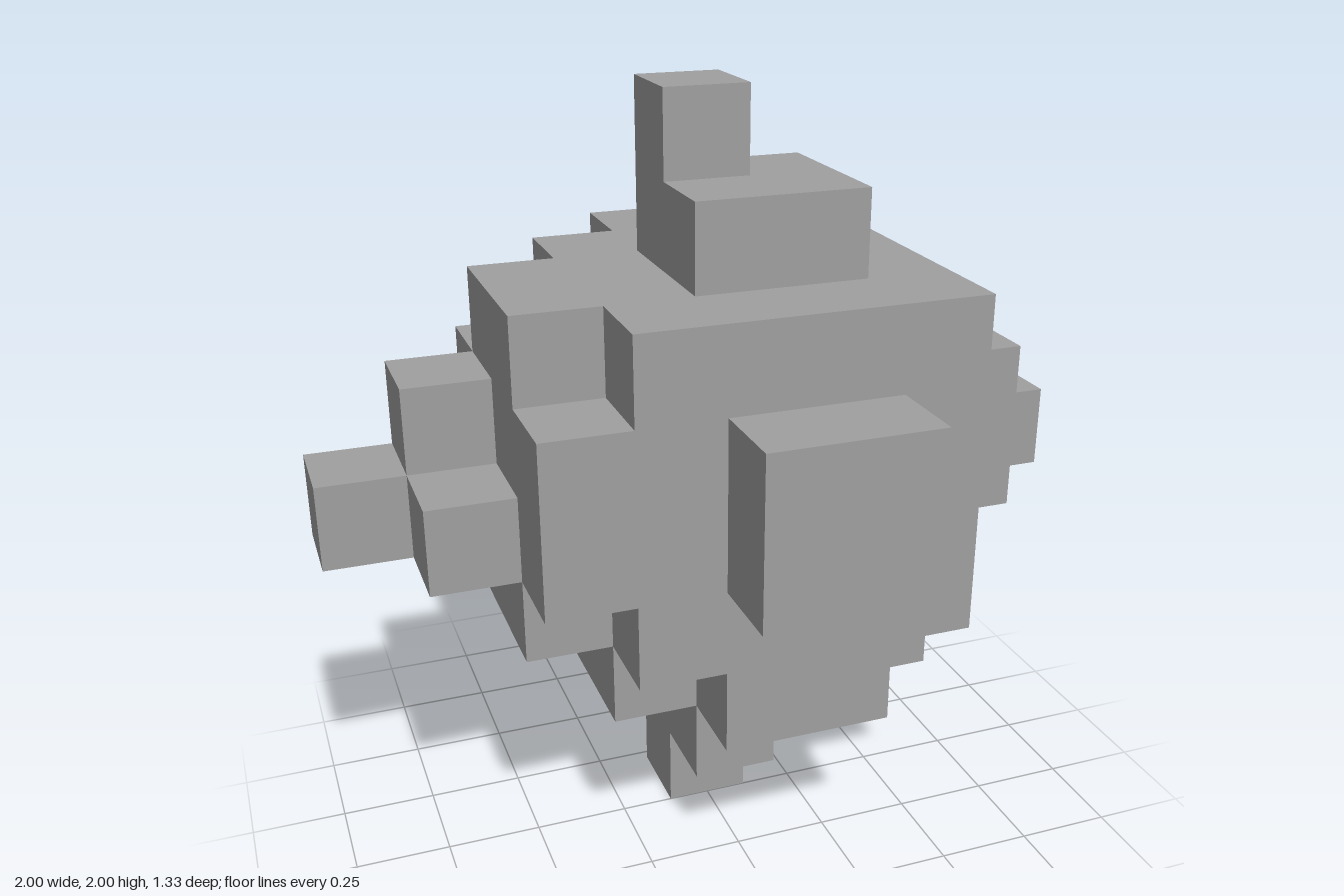
import * as THREE from 'three';
import { mergeGeometries } from 'three/addons/utils/BufferGeometryUtils.js';

const S = 2 / 9; // edge of one cube cell

// cell (i, j, k) to its centre; the body spans 0..4 on each axis
const centre = ([i, j, k]) => [(i - 2) * S, (j + 2.5) * S, (k - 2.5) * S];

// edges and corners cut from the 5 x 5 x 5 body
function isCut(cell) {
  const sorted = [...cell].sort((a, b) => a - b).join('');
  return sorted.startsWith('00') || sorted === '014' || sorted === '044';
}

function bodyCells() {
  const cells = [];
  for (let i = 0; i < 5; i++)
    for (let j = 0; j < 5; j++)
      for (let k = 0; k < 5; k++) if (!isCut([i, j, k])) cells.push([i, j, k]);
  return cells;
}

// one-cell-thick knob on a body face; a cut knob lacks its outer corner cell
function knobCells(axis, level, cut) {
  const cells = [];
  for (const a of [2, 3])
    for (const b of [2, 3]) {
      if (cut && a === 3 && b === 3) continue;
      const cell = [a, b];
      cell.splice(axis, 0, level);
      cells.push(cell);
    }
  return cells;
}

// single cell at the end of a knob
function tipCells(axis, level) {
  const cell = [2, 2, 2];
  cell[axis] = level;
  return [cell];
}

const SIDES = [
  { n: [1, 0, 0], r: [0, Math.PI / 2, 0] },
  { n: [-1, 0, 0], r: [0, -Math.PI / 2, 0] },
  { n: [0, 1, 0], r: [-Math.PI / 2, 0, 0] },
  { n: [0, -1, 0], r: [Math.PI / 2, 0, 0] },
  { n: [0, 0, 1], r: [0, 0, 0] },
  { n: [0, 0, -1], r: [0, Math.PI, 0] },
];

// squares only where a cell has no neighbour
function shell(cells, filled) {
  const faces = [];
  for (const cell of cells)
    for (const { n, r } of SIDES) {
      if (filled.has(cell.map((c, a) => c + n[a]).join())) continue;
      const face = new THREE.PlaneGeometry(S, S);
      face.translate(0, 0, S / 2);
      face.rotateX(r[0]);
      face.rotateY(r[1]);
      face.translate(...centre(cell));
      faces.push(face);
    }
  return mergeGeometries(faces);
}

export function createModel() {
  const model = new THREE.Group();
  model.name = 'steppedCube';
  const grey = new THREE.MeshStandardMaterial({ color: 0xa0a0a0 });
  grey.name = 'grey';

  const parts = {
    body: bodyCells(),
    topKnob: knobCells(1, 5, false),
    topTip: tipCells(1, 6),
    leftKnob: knobCells(0, 5, false),
    leftTip: tipCells(0, 6),
    frontKnob: knobCells(2, 5, false),
    bottomKnob: knobCells(1, -1, true),
    bottomTip: tipCells(1, -2),
    rightKnob: knobCells(0, -1, true),
    rightTip: tipCells(0, -2),
  };

  const filled = new Set(Object.values(parts).flat().map((c) => c.join()));
  for (const [name, cells] of Object.entries(parts)) {
    const mesh = new THREE.Mesh(shell(cells, filled), grey);
    mesh.name = name;
    model.add(mesh);
  }
  return model;
}
